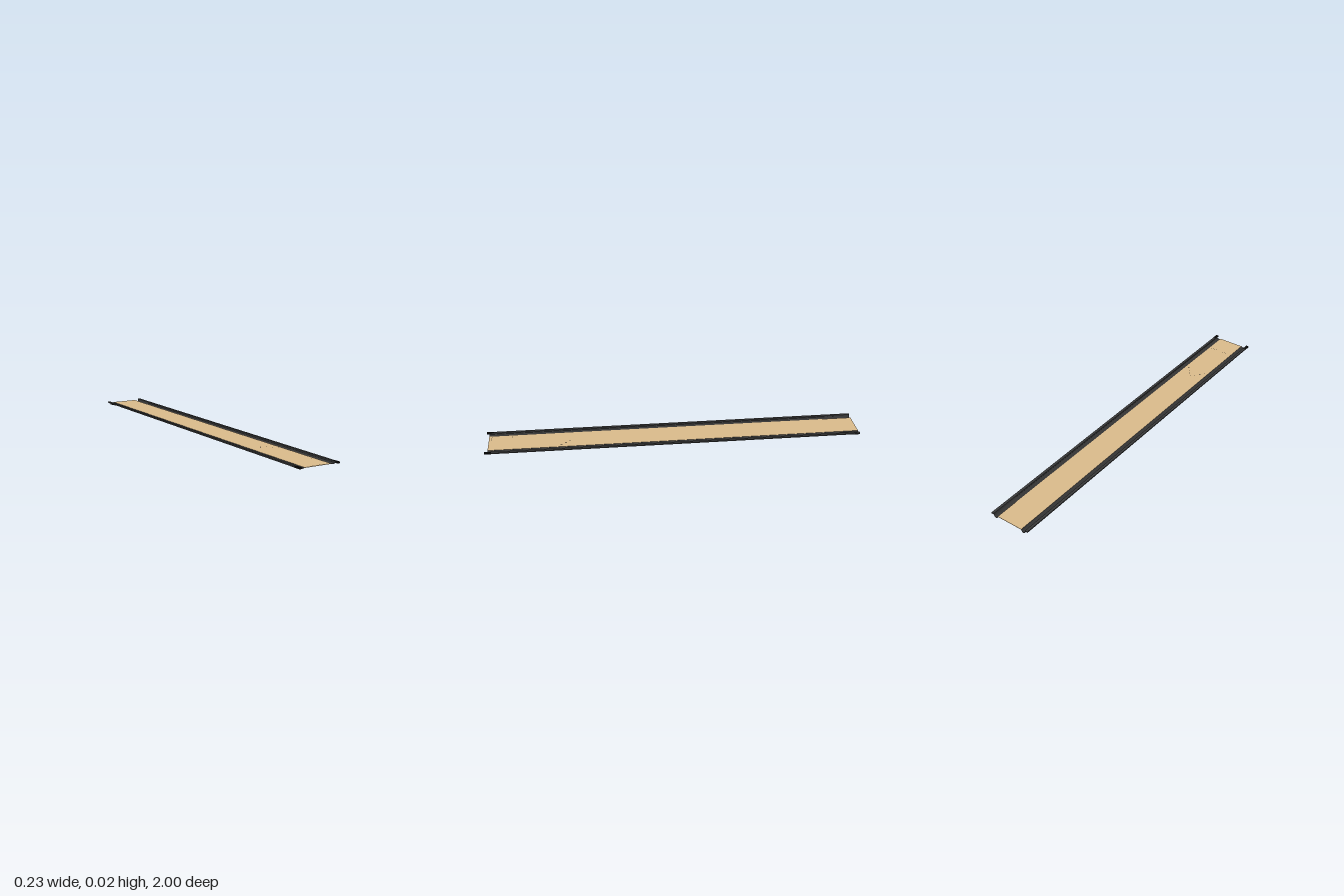
import * as THREE from 'three';

const BACK = -1, FRONT = 0.985, DECK = 0.0155;
const mat = (color, side = THREE.FrontSide) => {
  const m = new THREE.MeshStandardMaterial({ side });
  m.color.set(color);
  return m;
};
const wood = mat(0xd8b98a);
const dark = mat(0x3a3a3a);
const channel = mat(0x333333, THREE.DoubleSide);
const black = mat(0x0a0a0a);

function add(parent, name, geometry, material, x, y, z) {
  const mesh = new THREE.Mesh(geometry, material);
  mesh.name = name;
  mesh.position.set(x, y, z);
  parent.add(mesh);
  return mesh;
}

// Open trough: half-round section swept along z, dropping away at the back end
function gutterGeometry() {
  const stations = [[FRONT, 0.004], [-0.84, 0.004], [BACK, DECK]];
  const steps = 12, half = 0.0125, positions = [], index = [];
  for (const [z, depth] of stations) {
    for (let i = 0; i <= steps; i++) {
      const a = Math.PI * i / steps;
      positions.push(-Math.cos(a) * half, DECK - Math.sin(a) * depth, z);
    }
  }
  const row = steps + 1;
  for (let s = 0; s < stations.length - 1; s++) {
    for (let i = 0; i < steps; i++) {
      const a = s * row + i, b = a + row;
      index.push(a, a + 1, b, a + 1, b + 1, b);
    }
  }
  const g = new THREE.BufferGeometry();
  g.setAttribute('position', new THREE.Float32BufferAttribute(positions, 3));
  g.setIndex(index);
  g.computeVertexNormals();
  return g;
}

export function createModel() {
  const model = new THREE.Group();
  model.name = 'bowlingLane';

  // Wooden deck
  const length = FRONT - BACK, mid = (FRONT + BACK) / 2;
  add(model, 'laneDeck', new THREE.BoxGeometry(0.148, 0.002, length), wood, 0, DECK - 0.001, mid);

  // Gutter, outer rail and rail end cap on each side
  const gutter = gutterGeometry();
  const rail = new THREE.BoxGeometry(0.014, 0.0065, length);
  const cap = new THREE.BoxGeometry(0.0145, 0.0072, 0.037);
  for (const [side, s] of [['left', 1], ['right', -1]]) {
    add(model, side + 'Gutter', gutter, channel, s * 0.0865, 0, 0);
    add(model, side + 'Rail', rail, dark, s * 0.106, 0.0185, mid);
    add(model, side + 'RailCap', cap, black, s * 0.1063, 0.0185, 0.9815);
  }

  // Aiming arrows in a V
  const markers = new THREE.Group();
  markers.name = 'laneMarkers';
  model.add(markers);
  const arrow = new THREE.ShapeGeometry(new THREE.Shape([
    new THREE.Vector2(-0.0022, -0.005), new THREE.Vector2(0.0022, -0.005), new THREE.Vector2(0, 0.005),
  ])).rotateX(-Math.PI / 2);
  for (let i = -3; i <= 3; i++) {
    add(markers, 'aimingArrow', arrow, black, i * 0.0185, DECK + 0.0002, 0.53 + Math.abs(i) * 0.0233);
  }

  // Approach dots in two rows
  const dot = new THREE.CircleGeometry(0.0013, 10).rotateX(-Math.PI / 2);
  for (const z of [0.86, 0.97]) {
    for (let i = 0; i < 5; i++) {
      for (const s of [-1, 1]) {
        add(markers, 'guideDot', dot, black, s * (0.018 + i * 0.0105), DECK + 0.0002, z);
      }
    }
  }
  return model;
}
